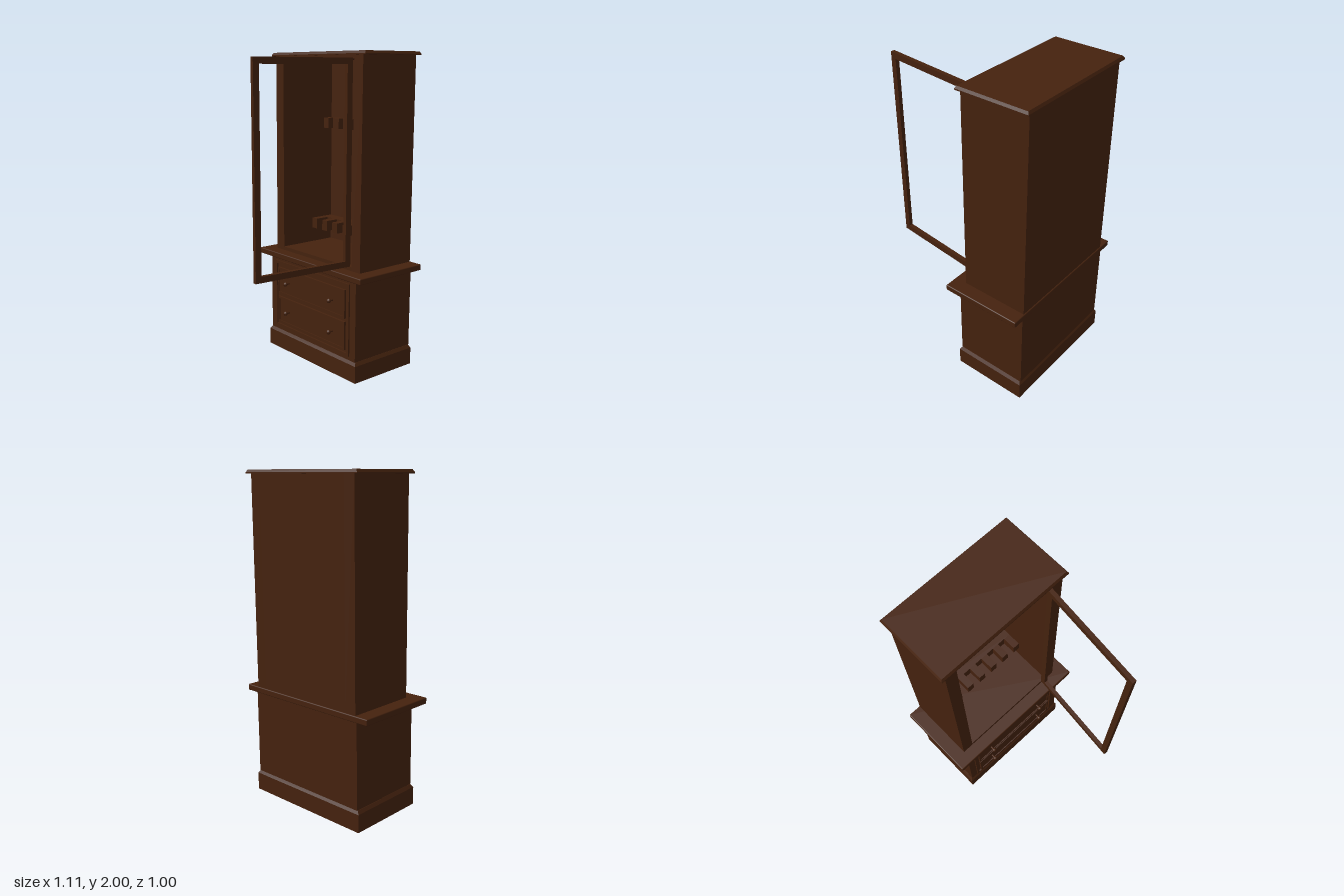
import * as THREE from 'three';
import { RoundedBoxGeometry } from 'three/addons/geometries/RoundedBoxGeometry.js';

export function createModel() {
  const model = new THREE.Group();
  model.name = 'cabinet';
  const wood = new THREE.MeshStandardMaterial({ color: 0x45220e });
  wood.name = 'darkWood';

  const add = (name, geometry, parent = model) => {
    const mesh = new THREE.Mesh(geometry, wood);
    mesh.name = name;
    parent.add(mesh);
    return mesh;
  };
  // Box given by its limits on each axis
  const box = (name, x0, x1, y0, y1, z0, z1, parent = model, radius = 0) => {
    const size = [x1 - x0, y1 - y0, z1 - z0];
    const g = radius ? new RoundedBoxGeometry(...size, 2, radius) : new THREE.BoxGeometry(...size);
    g.translate((x0 + x1) / 2, (y0 + y1) / 2, (z0 + z1) / 2);
    return add(name, g, parent);
  };
  // Box whose top is drawn in by an inset on all four sides
  const tapered = (name, x0, x1, y0, y1, halfZ, inset) => {
    const g = new THREE.BoxGeometry(x1 - x0, y1 - y0, halfZ * 2).toNonIndexed();
    const p = g.attributes.position;
    for (let i = 0; i < p.count; i++) {
      if (p.getY(i) < 0) continue;
      p.setX(i, p.getX(i) - Math.sign(p.getX(i)) * inset);
      p.setZ(i, p.getZ(i) - Math.sign(p.getZ(i)) * inset);
    }
    g.computeVertexNormals();
    g.translate((x0 + x1) / 2, (y0 + y1) / 2, 0);
    return add(name, g);
  };
  // Rectangular frame in the zy plane, facing -x
  const frame = (name, x0, x1, y0, y1, z0, z1, w, parent = model) => {
    const g = new THREE.Group();
    g.name = name;
    parent.add(g);
    box('bottomRail', x0, x1, y0, y0 + w, z0, z1, g);
    box('topRail', x0, x1, y1 - w, y1, z0, z1, g);
    box('stileA', x0, x1, y0 + w, y1 - w, z0, z0 + w, g);
    box('stileB', x0, x1, y0 + w, y1 - w, z1 - w, z1, g);
    return g;
  };

  // Base with plinth and counter
  box('plinth', 0.05, 0.545, 0, 0.11, -0.435, 0.435);
  tapered('plinthMoulding', 0.05, 0.545, 0.11, 0.13, 0.435, 0.013);
  box('baseBody', 0.06, 0.54, 0.13, 0.65, -0.42, 0.42);
  box('counter', 0.018, 0.547, 0.65, 0.688, -0.5, 0.5, model, 0.006);

  // Drawers with raised fronts and round knobs
  frame('drawerSurround', 0.05, 0.06, 0.155, 0.62, -0.37, 0.37, 0.018);
  const knobProfile = [[0, 0], [0.006, 0], [0.006, 0.022], [0.012, 0.028], [0.015, 0.036], [0.012, 0.045], [0, 0.049]]
    .map(([r, h]) => new THREE.Vector2(r, h));
  for (const y of [0.28, 0.485]) {
    box('drawerFront', 0.052, 0.06, y - 0.092, y + 0.092, -0.335, 0.335);
    frame('drawerMoulding', 0.046, 0.054, y - 0.092, y + 0.092, -0.335, 0.335, 0.014);
    for (const z of [-0.22, 0.22]) {
      const knob = add('knob', new THREE.LatheGeometry(knobProfile, 16));
      knob.rotation.z = Math.PI / 2;
      knob.position.set(0.056, y, z);
    }
  }

  // Hollow upper case, open towards -x
  for (const s of [-1, 1]) {
    box('sideWall', 0.1, 0.54, 0.688, 1.98, Math.min(s * 0.41, s * 0.335), Math.max(s * 0.41, s * 0.335));
  }
  box('backPanel', 0.52, 0.54, 0.688, 1.98, -0.335, 0.335);
  box('caseFloor', 0.1, 0.52, 0.688, 0.712, -0.335, 0.335);
  box('caseCeiling', 0.1, 0.52, 1.955, 1.98, -0.335, 0.335);

  // Cornice
  box('corniceLip', 0.086, 0.555, 1.978, 1.985, -0.44, 0.44);
  tapered('cornice', 0.086, 0.555, 1.985, 2, 0.44, 0.009);

  // Notched racks on the inside of the back
  const rack = (name, y0, y1, depth, count) => {
    const g = new THREE.Group();
    g.name = name;
    model.add(g);
    box('rackBar', 0.52 - depth * 0.45, 0.52, y0, y1, -0.335, 0.335, g);
    for (let i = 0; i < count; i++) {
      const z = -0.31 + (0.62 * i) / (count - 1);
      box('rackFinger', 0.52 - depth, 0.52 - depth * 0.45, y0, y1, z - 0.024, z + 0.024, g);
    }
  };
  rack('upperRack', 1.5, 1.57, 0.07, 7);
  rack('lowerRack', 0.81, 0.88, 0.17, 7);

  // Open door swung out on its hinge edge
  const door = new THREE.Group();
  door.name = 'door';
  frame('doorFrame', -0.0125, 0.0125, 0.715, 1.96, -0.66, 0, 0.037, door);
  door.position.set(0.1, 0, 0.314);
  door.rotation.y = Math.PI / 2 - 0.1;
  model.add(door);

  return model;
}
